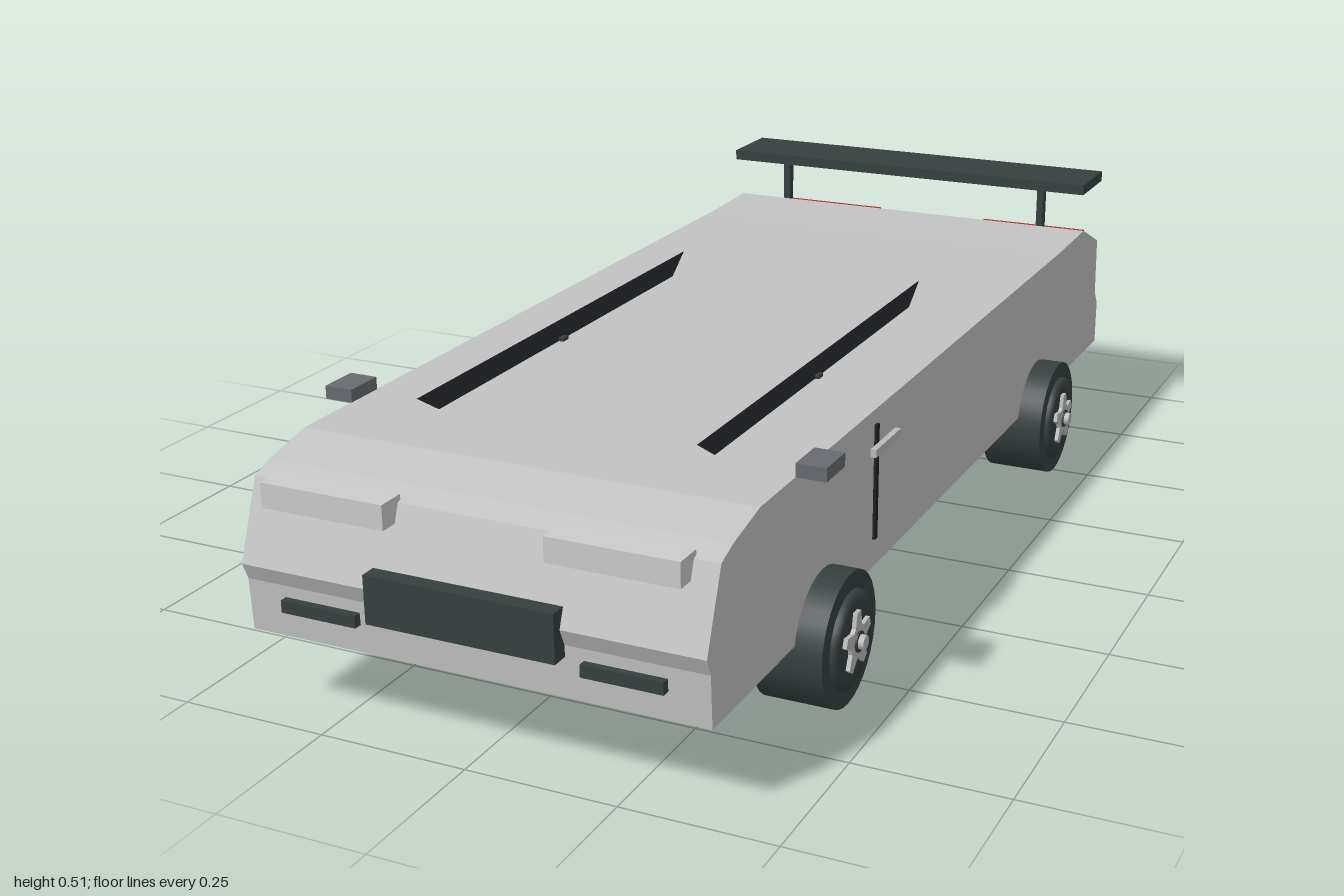
import * as THREE from 'three';

const mat = (name, color) => Object.assign(new THREE.MeshStandardMaterial({ color }), { name });

export function createModel() {
  const car = new THREE.Group();
  car.name = 'car';
  const silver = mat('silver paint', 0xc2c2c2);
  const lens = mat('pale lens', 0xcccccc);
  const chrome = mat('chrome', 0xbababa);
  const dark = mat('dark trim', 0x363f3f);
  const black = mat('black line', 0x1c1f20);
  const grey = mat('mirror grey', 0x676c70);
  const red = mat('red lamp', 0xb42c2c);
  const blade = mat('rail black', 0x2a2f31);
  blade.side = THREE.DoubleSide;

  const add = (parent, name, geometry, material, x = 0, y = 0, z = 0) => {
    const mesh = new THREE.Mesh(geometry, material);
    mesh.name = name;
    mesh.position.set(x, y, z);
    parent.add(mesh);
    return mesh;
  };
  // Box given by its limits along each axis
  const box = (name, material, [x0, x1], [y0, y1], [z0, z1]) =>
    add(car, name, new THREE.BoxGeometry(x1 - x0, y1 - y0, z1 - z0), material,
      (x0 + x1) / 2, (y0 + y1) / 2, (z0 + z1) / 2);
  // The same box on both sides of the car
  const pair = (name, material, [x0, x1], ys, zs) => {
    box(name + 'Left', material, [x0, x1], ys, zs);
    box(name + 'Right', material, [-x1, -x0], ys, zs);
  };
  const shapeOf = pts => new THREE.Shape(pts.map(p => new THREE.Vector2(...p)));

  // Body: side profile (z, y) swept across the width
  const profile = shapeOf([
    [-0.935, 0.137], [0.968, 0.137], [0.972, 0.222], [0.984, 0.25], [0.937, 0.374], [0.9, 0.388], [0.81, 0.408],
    [-0.63, 0.408], [-0.8, 0.412], [-0.91, 0.365], [-0.915, 0.25], [-0.935, 0.222],
  ]);
  const bodyGeo = new THREE.ExtrudeGeometry(profile, { depth: 0.768, bevelEnabled: false });
  bodyGeo.translate(0, 0, -0.384).rotateY(-Math.PI / 2);
  add(car, 'body', bodyGeo, silver);

  // Front end
  pair('headlight', lens, [0.132, 0.343], [0.345, 0.385], [0.93, 0.978]);
  pair('fogLight', dark, [0.187, 0.318], [0.183, 0.203], [0.96, 0.984]);
  box('grille', dark, [-0.157, 0.157], [0.203, 0.281], [0.96, 1]);

  // Rear end
  pair('tailLight', red, [0.12, 0.342], [0.338, 0.372], [-0.955, -0.9]);
  box('rearVent', dark, [-0.2, 0.2], [0.222, 0.275], [-0.965, -0.91]);
  for (const s of [1, -1]) {
    const pipe = add(car, 'exhaust', new THREE.CylinderGeometry(0.028, 0.028, 0.09, 20), chrome, s * 0.215, 0.203, -0.955);
    pipe.rotation.x = Math.PI / 2;
  }

  // Spoiler
  box('spoilerWing', dark, [-0.387, 0.387], [0.494, 0.514], [-0.907, -0.77]);
  pair('spoilerPost', dark, [0.278, 0.292], [0.4, 0.495], [-0.83, -0.812]);

  // Doors and mirrors
  pair('doorLine', black, [0.383, 0.389], [0.187, 0.383], [0.363, 0.373]);
  pair('doorHandle', chrome, [0.396, 0.406], [0.347, 0.36], [0.312, 0.42]);
  pair('mirror', grey, [0.383, 0.432], [0.407, 0.429], [0.615, 0.685]);

  // Thin roof blades and their small mounts
  const bladeGeo = new THREE.ShapeGeometry(shapeOf([[-0.165, 0.408], [0.655, 0.408], [0.715, 0.445], [-0.215, 0.445]]));
  bladeGeo.rotateY(-Math.PI / 2);
  for (const s of [1, -1]) add(car, 'roofBlade', bladeGeo, blade, s * 0.24);
  pair('bladeMount', dark, [0.231, 0.247], [0.4, 0.414], [0.256, 0.274]);

  // Wheel parts, lying along x, alike on both faces
  const turn = pts => new THREE.LatheGeometry(pts.map(p => new THREE.Vector2(...p)), 32).rotateZ(-Math.PI / 2);
  const disc = (r, w, n = 24) => new THREE.CylinderGeometry(r, r, w, n).rotateZ(Math.PI / 2);
  const treadGeo = new THREE.CylinderGeometry(0.109, 0.109, 0.115, 32).rotateZ(Math.PI / 2);
  const rimGeo = turn([[0, -0.066], [0.06, -0.066], [0.08, -0.062], [0.08, 0.062], [0.06, 0.066], [0, 0.066]]);
  const star = [];
  for (let i = 0; i < 20; i++) {
    const r = i % 4 < 2 ? 0.05 : 0.028;
    const a = Math.PI / 2 + (i - 0.5) * Math.PI / 10;
    star.push([r * Math.cos(a), r * Math.sin(a)]);
  }
  const starGeo = new THREE.ExtrudeGeometry(shapeOf(star), { depth: 0.146, bevelEnabled: false });
  starGeo.translate(0, 0, -0.073).rotateY(Math.PI / 2);

  for (const x of [0.372, -0.372]) for (const z of [0.58, -0.505]) {
    const wheel = new THREE.Group();
    wheel.name = (z > 0 ? 'front' : 'rear') + (x > 0 ? 'Left' : 'Right') + 'Wheel';
    wheel.position.set(x, 0.111, z);
    add(wheel, 'tire', treadGeo, dark);
    add(wheel, 'rim', rimGeo, dark);
    add(wheel, 'spokes', starGeo, chrome);
    add(wheel, 'hubRing', disc(0.017, 0.152), dark);
    add(wheel, 'hubNut', disc(0.012, 0.17, 12), chrome);
    car.add(wheel);
  }
  return car;
}
